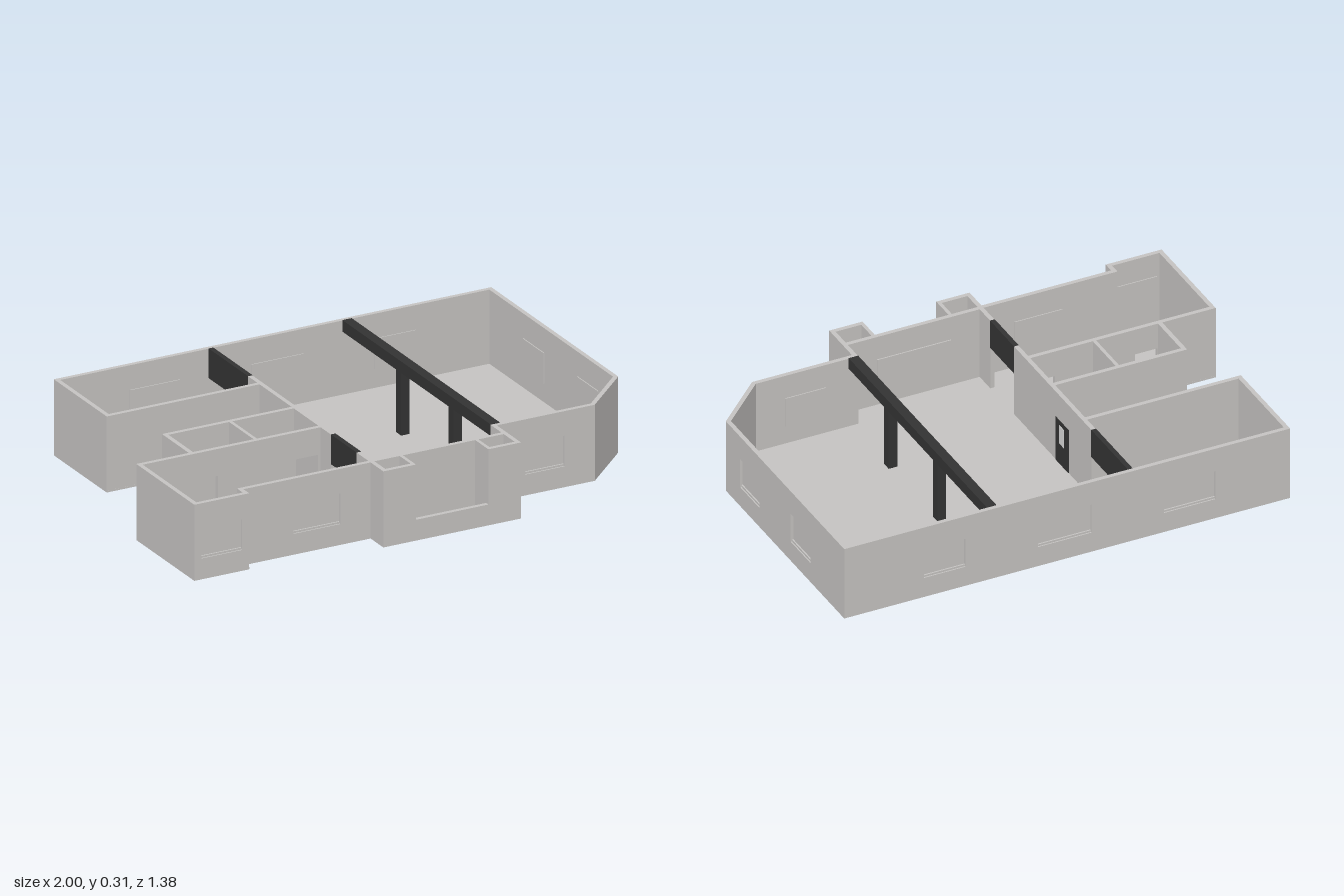
import * as THREE from 'three';

const H = 0.31, T = 0.018, SILL = 0.085, HEAD = 0.21, DOOR = 0.2;

export function createModel() {
  const model = new THREE.Group();
  model.name = 'floorPlan';
  const mat = (name, color) => {
    const m = new THREE.MeshStandardMaterial({ color });
    m.name = name;
    return m;
  };
  const plaster = mat('lightGrey', 0xc5c3c1);
  const slate = mat('midGrey', 0x666666);
  const charcoal = mat('charcoal', 0x333333);
  const glass = mat('paleGlass', 0xd8d8d8);

  function add(name, geometry, material, parent = model) {
    const mesh = new THREE.Mesh(geometry, material);
    mesh.name = name;
    parent.add(mesh);
    return mesh;
  }
  // box given by its minimum and maximum corners
  function box(name, [x0, y0, z0], [x1, y1, z1], material, parent) {
    const mesh = add(name, new THREE.BoxGeometry(x1 - x0, y1 - y0, z1 - z0), material, parent);
    mesh.position.set((x0 + x1) / 2, (y0 + y1) / 2, (z0 + z1) / 2);
    return mesh;
  }

  // wall along a plan segment: its outer face is on the segment, thickness goes inward
  function wall(name, [x0, z0], [x1, z1], opt = {}) {
    const { height = H, windows = [], doors = [], start = 0, end = 0, t = T } = opt;
    const length = Math.hypot(x1 - x0, z1 - z0);
    const g = new THREE.Group();
    g.name = name;
    g.position.set(x0, 0, z0);
    g.rotation.y = Math.atan2(z0 - z1, x1 - x0);
    const shape = new THREE.Shape();
    shape.moveTo(-start, 0);
    for (const [a, b] of doors) {
      shape.lineTo(a, 0);
      shape.lineTo(a, DOOR);
      shape.lineTo(b, DOOR);
      shape.lineTo(b, 0);
    }
    shape.lineTo(length + end, 0);
    shape.lineTo(length + end, height);
    shape.lineTo(-start, height);
    shape.closePath();
    for (const [a, b] of windows) {
      const hole = new THREE.Path();
      hole.moveTo(a, SILL);
      hole.lineTo(a, HEAD);
      hole.lineTo(b, HEAD);
      hole.lineTo(b, SILL);
      hole.closePath();
      shape.holes.push(hole);
      // recessed pane, standing slightly proud of the inner face
      box('windowPane', [a, SILL, -t - 0.004], [b, HEAD, -0.011], plaster, g);
      box('windowSill', [a, SILL, -0.011], [b, SILL + 0.008, -0.005], plaster, g);
    }
    const geo = new THREE.ExtrudeGeometry(shape, { depth: t, bevelEnabled: false });
    geo.translate(0, 0, -t);
    add('wallPanel', geo, plaster, g);
    model.add(g);
  }

  // outer walls, each from its plan corner to the next one
  const outline = [
    { p: [-1, 0.635], windows: [[0.03, 0.205]] },
    { p: [-0.765, 0.635] },
    { p: [-0.765, 0.59], windows: [[0.215, 0.415]] },
    { p: [-0.22, 0.59] },
    { p: [-0.22, 0.69] },
    { p: [-0.08, 0.69], height: SILL },
    { p: [0.23, 0.69] },
    { p: [0.37, 0.69] },
    { p: [0.37, 0.5], windows: [[0.12, 0.29]] },
    { p: [0.79, 0.5] },
    { p: [1, 0.3], windows: [[0.12, 0.285], [0.545, 0.71]] },
    { p: [1, -0.695], windows: [[0.335, 0.51], [0.815, 1.04], [1.345, 1.56]] },
    { p: [-0.875, -0.695] },
    { p: [-0.875, -0.28] },
    { p: [-0.22, -0.28], doors: [[0.1, 0.21]] },
    { p: [-0.22, -0.03] },
    { p: [-0.775, -0.03] },
    { p: [-0.775, 0.18] },
    { p: [-1, 0.18] },
  ];
  const n = outline.length;
  const at = (i) => outline[(i + n) % n].p;
  // walls run on past inward corners to close them
  const overrun = (i) => {
    const [a, b, c] = [at(i - 1), at(i), at(i + 1)];
    const turn = (b[0] - a[0]) * (c[1] - b[1]) - (b[1] - a[1]) * (c[0] - b[0]);
    return turn > 1e-6 ? T : 0;
  };
  outline.forEach((o, i) => wall('outerWall', o.p, at(i + 1), { ...o, start: overrun(i), end: overrun(i + 1) }));

  // inner walls
  wall('hallWallBack', [-0.22, -0.37], [-0.22, -0.28]);
  wall('hallWallMiddle', [-0.22, -0.03], [-0.22, 0.28]);
  wall('hallWallFront', [-0.22, 0.48], [-0.22, 0.59]);
  wall('sideRoomPartition', [-0.785, 0.198], [-0.22, 0.198], { doors: [[0.03, 0.125], [0.46, 0.555]] });
  wall('smallRoomDivider', [-0.497, -0.03], [-0.497, 0.19], { t: 0.014 });
  wall('bayInnerWall', [-0.22, 0.587], [0.37, 0.587]);
  box('bayWindow', [-0.08, SILL, 0.564], [0.23, HEAD, 0.572], plaster);
  for (const x of [-0.08, 0.244]) wall('bayPierSide', [x - 0.014, 0.58], [x - 0.014, 0.69], { t: -0.014 + 0.028 });

  // floors
  const floorShape = new THREE.Shape(outline.map(({ p }) => new THREE.Vector2(p[0] * 0.998, -p[1] * 0.998)));
  const floorGeo = new THREE.ExtrudeGeometry(floorShape, { depth: 0.007, bevelEnabled: false });
  floorGeo.rotateX(-Math.PI / 2);
  add('floor', floorGeo, plaster).position.y = 0.001;
  box('darkRoomFloor', [-0.87, 0, -0.69], [-0.21, 0.011, -0.285], slate);

  // dark lintels over the wide hall openings
  for (const [z0, z1] of [[-0.677, -0.37], [0.28, 0.48]]) {
    box('openingLintel', [-0.221, 0.19, z0], [-0.201, H + 0.001, z1], charcoal);
  }

  // long ceiling beam on two posts
  box('ceilingBeam', [0.352, 0.265, -0.677], [0.392, H + 0.002, 0.483], charcoal);
  for (const z of [-0.24, 0.17]) box('beamPost', [0.354, 0, z - 0.02], [0.39, 0.27, z + 0.02], charcoal);

  // entrance door with a glazed panel
  box('entranceDoor', [-0.212, 0.008, -0.18], [-0.2, DOOR, -0.07], charcoal);
  box('doorGlass', [-0.214, 0.1, -0.145], [-0.198, 0.18, -0.105], glass);

  return model;
}
